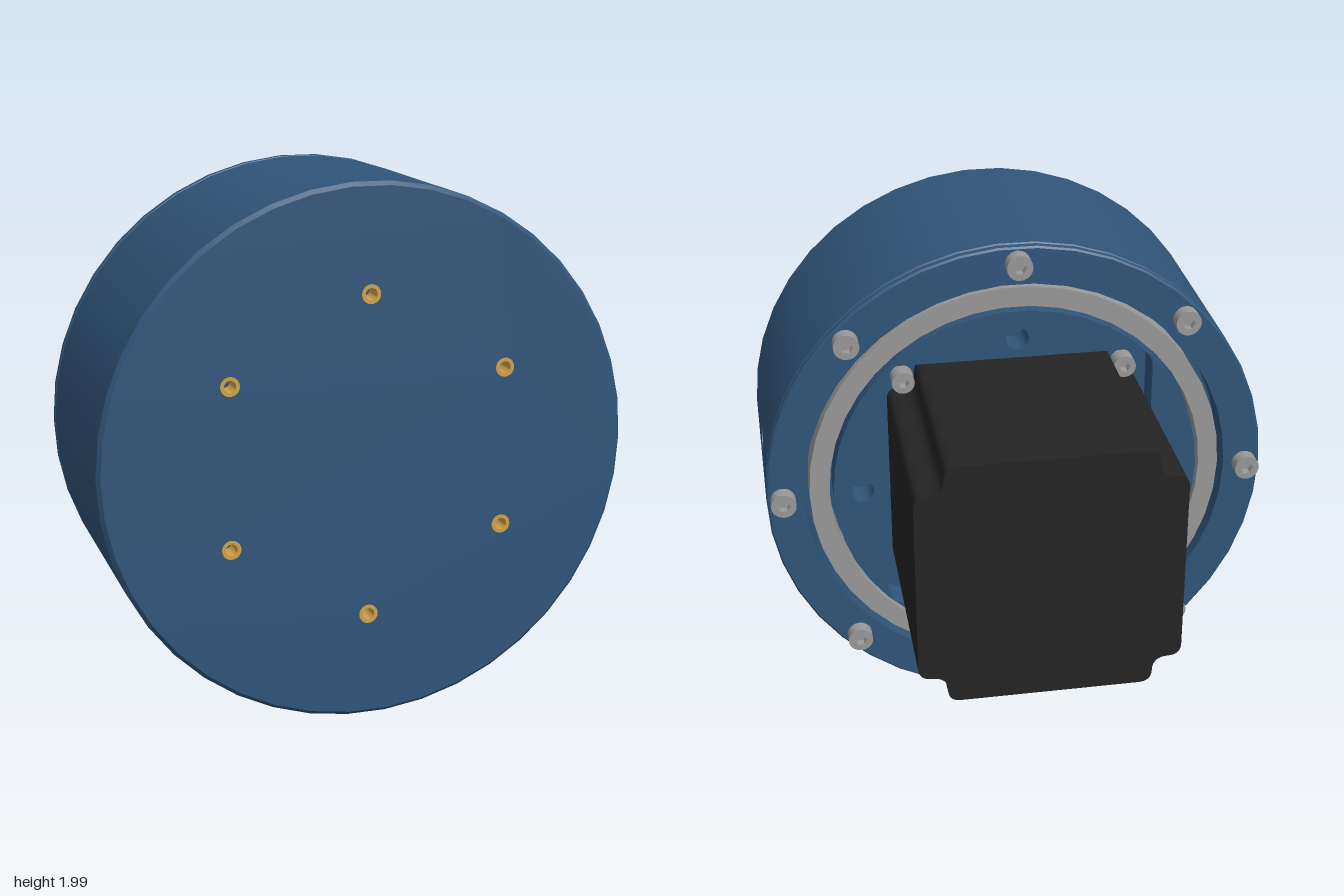
import * as THREE from 'three';
import { mergeGeometries, toCreasedNormals } from 'three/addons/utils/BufferGeometryUtils.js';

const SIDES = 42;
const STEP = (Math.PI * 2) / SIDES;

const mat = (name, color, side = THREE.FrontSide) => {
  const m = new THREE.MeshStandardMaterial({ color, side });
  m.name = name;
  return m;
};

// Regular polygon as a list of points
function ring(r, n, cx = 0, cy = 0) {
  return Array.from({ length: n }, (_, i) => {
    const a = (i / n) * Math.PI * 2;
    return new THREE.Vector2(cx + r * Math.cos(a), cy + r * Math.sin(a));
  });
}

// Plate lying in xy, from z0 to z1, with holes
function plate(outline, holes, z0, z1) {
  const shape = outline instanceof THREE.Shape ? outline : new THREE.Shape(outline);
  shape.holes = holes.map((h) => (h instanceof THREE.Path ? h : new THREE.Path(h)));
  const g = new THREE.ExtrudeGeometry(shape, { depth: z1 - z0, bevelEnabled: false, curveSegments: 8 });
  g.translate(0, 0, z0);
  return toCreasedNormals(g, 0.6);
}

// Profile of [radius, z] turned about the z axis, with sharp profile corners
function turned(profile, sides = SIDES, start = Math.PI / 2, length = Math.PI * 2) {
  const parts = [];
  for (let i = 0; i + 1 < profile.length; i++) {
    const pts = [profile[i], profile[i + 1]].map(([r, z]) => new THREE.Vector2(r, z));
    parts.push(new THREE.LatheGeometry(pts, sides, start, length));
  }
  return mergeGeometries(parts).rotateX(Math.PI / 2);
}

// Rounded square outline
function roundedSquare(h, r) {
  const s = new THREE.Path();
  s.moveTo(h, -h + r);
  s.lineTo(h, h - r);
  s.absarc(h - r, h - r, r, 0, Math.PI / 2);
  s.absarc(-h + r, h - r, r, Math.PI / 2, Math.PI);
  s.absarc(-h + r, -h + r, r, Math.PI, Math.PI * 1.5);
  s.absarc(h - r, -h + r, r, Math.PI * 1.5, Math.PI * 2);
  return s;
}

// Square with a smooth scooped notch at each corner
function motorOutline() {
  const s = new THREE.Shape();
  s.moveTo(0.5, -0.34);
  for (let k = 0; k < 4; k++) {
    const c = Math.round(Math.cos((k * Math.PI) / 2));
    const n = Math.round(Math.sin((k * Math.PI) / 2));
    const p = (x, y) => [x * c - y * n, x * n + y * c];
    s.lineTo(...p(0.5, 0.34));
    s.quadraticCurveTo(...p(0.5, 0.39), ...p(0.45, 0.39));
    s.quadraticCurveTo(...p(0.39, 0.39), ...p(0.39, 0.45));
    s.quadraticCurveTo(...p(0.39, 0.5), ...p(0.34, 0.5));
  }
  return s;
}

// Socket head screw, base at z = 0, facing +z
function screw(r, h) {
  return mergeGeometries([
    plate(ring(r, 20), [ring(r * 0.52, 6)], 0, h),
    plate(ring(r * 0.9, 20), [], 0, h * 0.4),
  ]);
}

// Piece of drum wall with a round hole, curved to follow the drum
function holePatch(y, z, r) {
  const y1 = Math.sin(STEP), y2 = Math.sin(2 * STEP);
  const x1 = Math.cos(STEP), x2 = Math.cos(2 * STEP);
  const outline = [[-0.38, 0], [-0.18, 0], [-0.18, y1], [-0.18, y2], [-0.38, y2], [-0.38, y1]];
  const g = plate(outline.map((p) => new THREE.Vector2(...p)), [ring(r, 24, -z, y)], 0.75, 1);
  g.rotateY(Math.PI / 2);
  const pos = g.attributes.position, nor = g.attributes.normal;
  for (let i = 0; i < pos.count; i++) {
    if (pos.getX(i) < 0.9) continue;
    const v = pos.getY(i);
    const x = v < y1 ? 1 + (x1 - 1) * (v / y1) : x1 + (x2 - x1) * ((v - y1) / (y2 - y1));
    pos.setX(i, x);
    if (nor.getX(i) > 0.9) nor.setXYZ(i, Math.sqrt(1 - v * v), v, 0);
  }
  return g;
}

export function createModel() {
  const blue = mat('blue paint', 0x30557a);
  const black = mat('black motor', 0x242424);
  const steel = mat('steel', 0x999999);
  const brass = mat('brass', 0xd0a048);

  const model = new THREE.Group();
  const unit = new THREE.Group();
  unit.name = 'motorDrum';
  unit.position.y = 1;
  model.add(unit);
  const add = (name, geometry, material) => {
    const m = new THREE.Mesh(geometry, material);
    m.name = name;
    unit.add(m);
    return m;
  };

  // Drum wall, with a band left open for the access hole
  add('drumWallBack', turned([[0.85, -0.04], [0.99, -0.04], [1, -0.03], [1, 0.18]]), blue);
  add('drumWallBand', turned([[1, 0.18], [1, 0.38]], SIDES - 2, Math.PI / 2 + 2 * STEP, Math.PI * 2 - 2 * STEP), blue);
  add('drumWallFront', turned([[1, 0.38], [1, 0.805], [0.985, 0.82]]), blue);
  add('accessHoleWall', holePatch(0.1, 0.28, 0.055), blue);
  const floor = add('accessHoleFloor', plate(ring(0.07, 20), [], 0, 0.01), blue);
  const inner = add('clampScrew', screw(0.047, 0.06), steel);
  for (const m of [floor, inner]) {
    m.position.set(0.755, 0.1, 0.28);
    m.rotation.y = Math.PI / 2;
  }

  // Front face with six threaded inserts
  const inserts = Array.from({ length: 6 }, (_, k) => {
    const a = Math.PI / 2 + (k * Math.PI) / 3;
    return [0.6 * Math.cos(a), 0.6 * Math.sin(a)];
  });
  add('frontFace', plate(ring(0.985, SIDES), inserts.map(([x, y]) => ring(0.036, 20, x, y)), 0.73, 0.82), blue);
  add('frontBacking', plate(ring(0.7, SIDES), [], 0.71, 0.735), blue);
  for (const [x, y] of inserts) {
    add('threadedInsert', plate(ring(0.036, 20), [ring(0.022, 20)], 0.735, 0.821), brass).position.set(x, y, 0);
  }

  // Rear cover ring, bearing ring and inner hub
  add('rearCover', turned([[0.85, 0.06], [0.85, -0.08], [0.993, -0.08], [1, -0.073], [1, -0.047], [0.99, -0.04]]), blue);
  add('bearingRing', turned([[0.75, 0.06], [0.75, -0.06], [0.83, -0.06], [0.83, 0.06]]), steel);
  const hubHoles = [[0.62, 0], [0, 0.62], [-0.62, 0], [0, -0.62]].map(([x, y]) => ring(0.045, 20, x, y));
  add('hubPlate', plate(ring(0.735, SIDES), [roundedSquare(0.54, 0.08), ...hubHoles], -0.07, 0.05), blue);
  add('hubBacking', plate(ring(0.87, SIDES), [], 0.05, 0.07), blue);

  // Motor and its corner screws
  add('motor', plate(motorOutline(), [], -0.825, 0.05), black);
  for (const x of [-0.44, 0.44]) {
    for (const y of [-0.44, 0.44]) {
      const s = add('motorScrew', screw(0.045, 0.07), steel);
      s.position.set(x, y, 0.05);
      s.rotation.y = Math.PI;
    }
  }

  // Eight cover screws
  for (let k = 0; k < 8; k++) {
    const a = (k * Math.PI) / 4;
    const s = add('coverScrew', screw(0.05, 0.055), steel);
    s.position.set(0.935 * Math.cos(a), 0.935 * Math.sin(a), -0.08);
    s.rotation.y = Math.PI;
  }
  return model;
}
